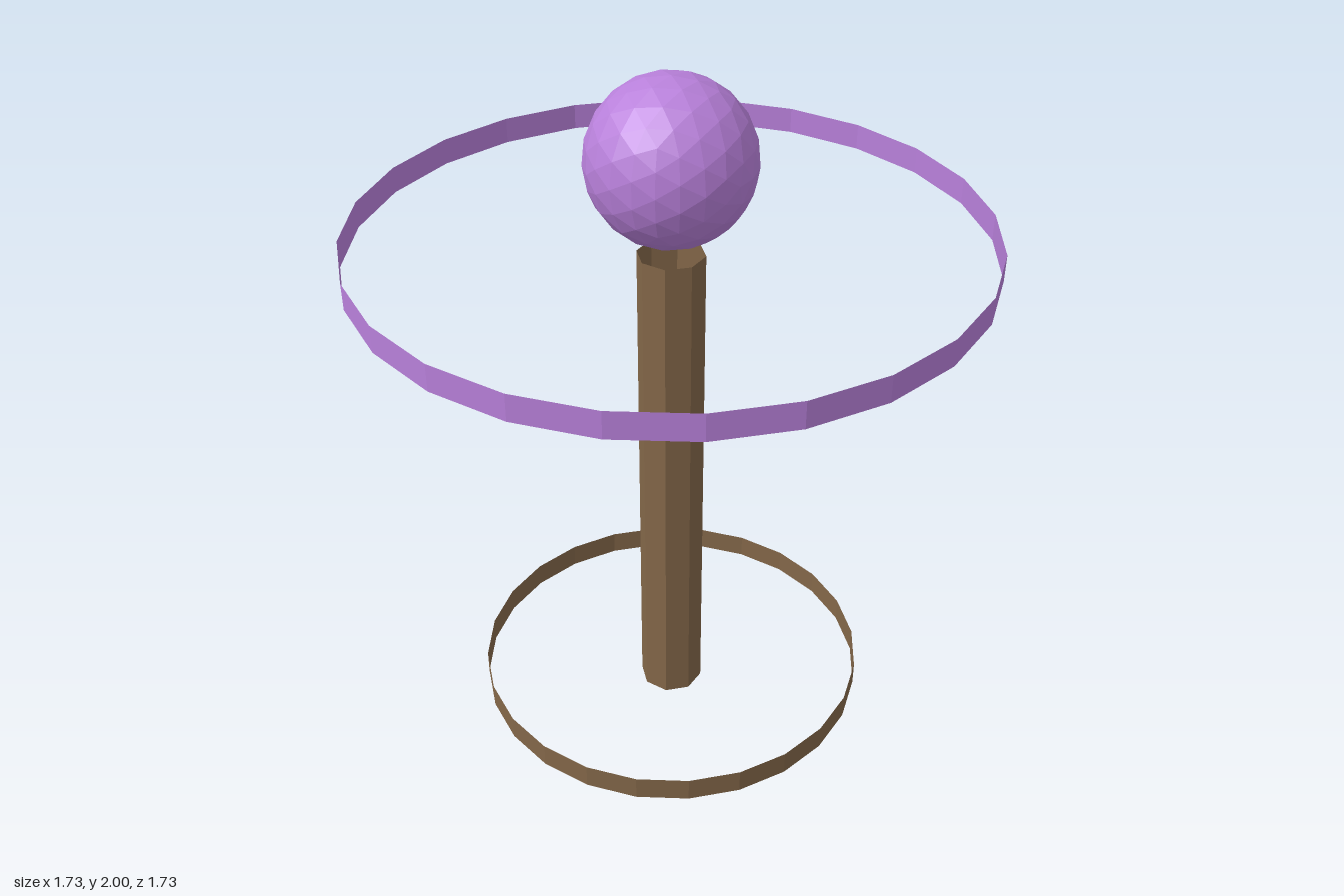
import * as THREE from 'three';

export function createModel() {
  const model = new THREE.Group();
  const purple = new THREE.MeshStandardMaterial({ color: 0xb880da, flatShading: true, side: THREE.DoubleSide });
  purple.name = 'lavender';
  const brown = new THREE.MeshStandardMaterial({ color: 0x836749, flatShading: true, side: THREE.DoubleSide });
  brown.name = 'woodBrown';

  const add = (name, geometry, material, y) => {
    const mesh = new THREE.Mesh(geometry, material);
    mesh.name = name;
    mesh.position.y = y;
    model.add(mesh);
  };
  // Open-ended upright wall between two heights
  const wall = (name, radius, bottom, top, sides, material) =>
    add(name, new THREE.CylinderGeometry(radius, radius, top - bottom, sides, 1, true), material, (bottom + top) / 2);

  // Hollow octagonal post
  wall('post', 0.094, 0, 1.505, 8, brown);

  // Thin hoops around the foot and the top
  wall('baseHoop', 0.576, 0.045, 0.118, 24, brown);
  wall('topHoop', 0.865, 1.505, 1.58, 24, purple);

  // Faceted ball above the post
  add('ball', new THREE.IcosahedronGeometry(0.229, 3), purple, 1.771);

  return model;
}
